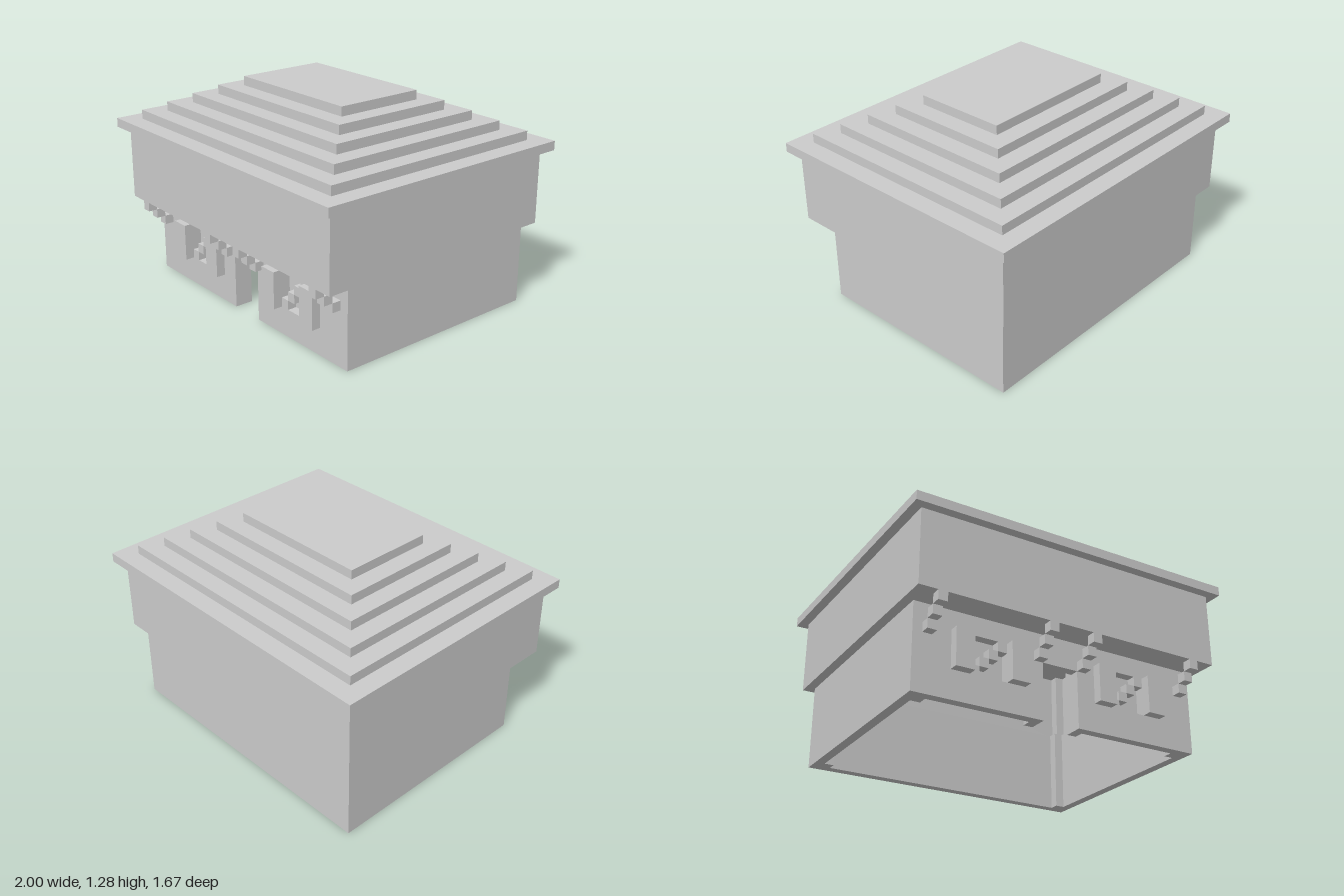
import * as THREE from 'three';

const U = 1 / 18; // one building block

export function createModel() {
  const model = new THREE.Group();
  model.name = 'house';
  const mat = new THREE.MeshStandardMaterial({ color: 0xcccccc, flatShading: true });

  // Box given by its extents in blocks
  function box(name, x0, x1, y0, y1, z0, z1) {
    const geo = new THREE.BoxGeometry((x1 - x0) * U, (y1 - y0) * U, (z1 - z0) * U);
    const mesh = new THREE.Mesh(geo, mat);
    mesh.position.set((x0 + x1) / 2 * U, (y0 + y1) / 2 * U, (z0 + z1) / 2 * U);
    mesh.name = name;
    model.add(mesh);
  }

  const rect = (Type, x0, x1, y0, y1) => new Type(
    [[x0, y0], [x1, y0], [x1, y1], [x0, y1]].map(([x, y]) => new THREE.Vector2(x * U, y * U)));

  // Closed ring of walls, one block thick, between two heights
  function wallRing(name, hx, z0, z1, y0, y1) {
    const shape = rect(THREE.Shape, -hx, hx, -z1, -z0);
    shape.holes.push(rect(THREE.Path, -hx + 1, hx - 1, -z1 + 1, -z0 - 1));
    const geo = new THREE.ExtrudeGeometry(shape, { depth: (y1 - y0) * U, bevelEnabled: false });
    geo.rotateX(-Math.PI / 2).translate(0, y0 * U, 0);
    const mesh = new THREE.Mesh(geo, mat);
    mesh.name = name;
    model.add(mesh);
  }

  // Stepped roof
  for (let i = 0; i < 6; i++) {
    box('roofStep', -18 + 2 * i, 18 - 2 * i, 17 + i, 18 + i, -15 + 2 * i, 15 - 2 * i);
  }

  // Upper storey and the floor of its front overhang
  wallRing('upperWalls', 17, -14, 14, 9, 17);
  box('overhangFloor', -16, 16, 9, 10, 10, 13);

  // Lower storey: back and side walls
  box('backWall', -16, 16, 0, 9, -13, -12);
  for (const s of [-1, 1]) box('sideWall', s * 15.5 - 0.5, s * 15.5 + 0.5, 0, 9, -12, 10);

  // Front wall with a doorway and two windows
  const front = new THREE.Shape(
    [[-16, 0], [-2, 0], [-2, 6], [2, 6], [2, 0], [16, 0], [16, 9], [-16, 9]]
      .map(([x, y]) => new THREE.Vector2(x * U, y * U)));
  for (const x of [-10, 6]) front.holes.push(rect(THREE.Path, x, x + 4, 3, 7));
  const frontWall = new THREE.Mesh(
    new THREE.ExtrudeGeometry(front, { depth: U, bevelEnabled: false }), mat);
  frontWall.position.z = 10 * U;
  frontWall.name = 'frontWall';
  model.add(frontWall);

  // Windows: recessed pane, diagonal bar and a shutter on each side
  for (const x of [-10, 6]) {
    box('windowPane', x, x + 4, 3, 7, 9, 10);
    for (let i = 0; i < 4; i++) box('windowBar', x + i, x + i + 1, 3 + i, 4 + i, 10, 11);
    box('shutter', x - 2, x, 3, 7, 11, 12);
    box('shutter', x + 4, x + 6, 3, 7, 11, 12);
  }

  // Stepped brackets below the overhang
  for (const x of [-15, -3, 2, 14]) {
    for (let i = 0; i < 3; i++) box('bracket', x, x + 1, 6 + i, 7 + i, 11 + i, 12 + i);
  }

  // Inside posts: door frame, lower and upper corners, and the front beam
  for (const x of [-15, -3, 2, 14]) box('frontPost', x, x + 1, 0, 8, 9, 10);
  for (const x of [-15, 14]) box('backPost', x, x + 1, 0, 9, -12, -11);
  for (const x of [-16, 15]) {
    box('upperPost', x, x + 1, 10, 17, 12, 13);
    box('upperPost', x, x + 1, 9, 17, -13, -12);
  }
  box('frontBeam', -15, 15, 8, 9, 9, 10);

  return model;
}
